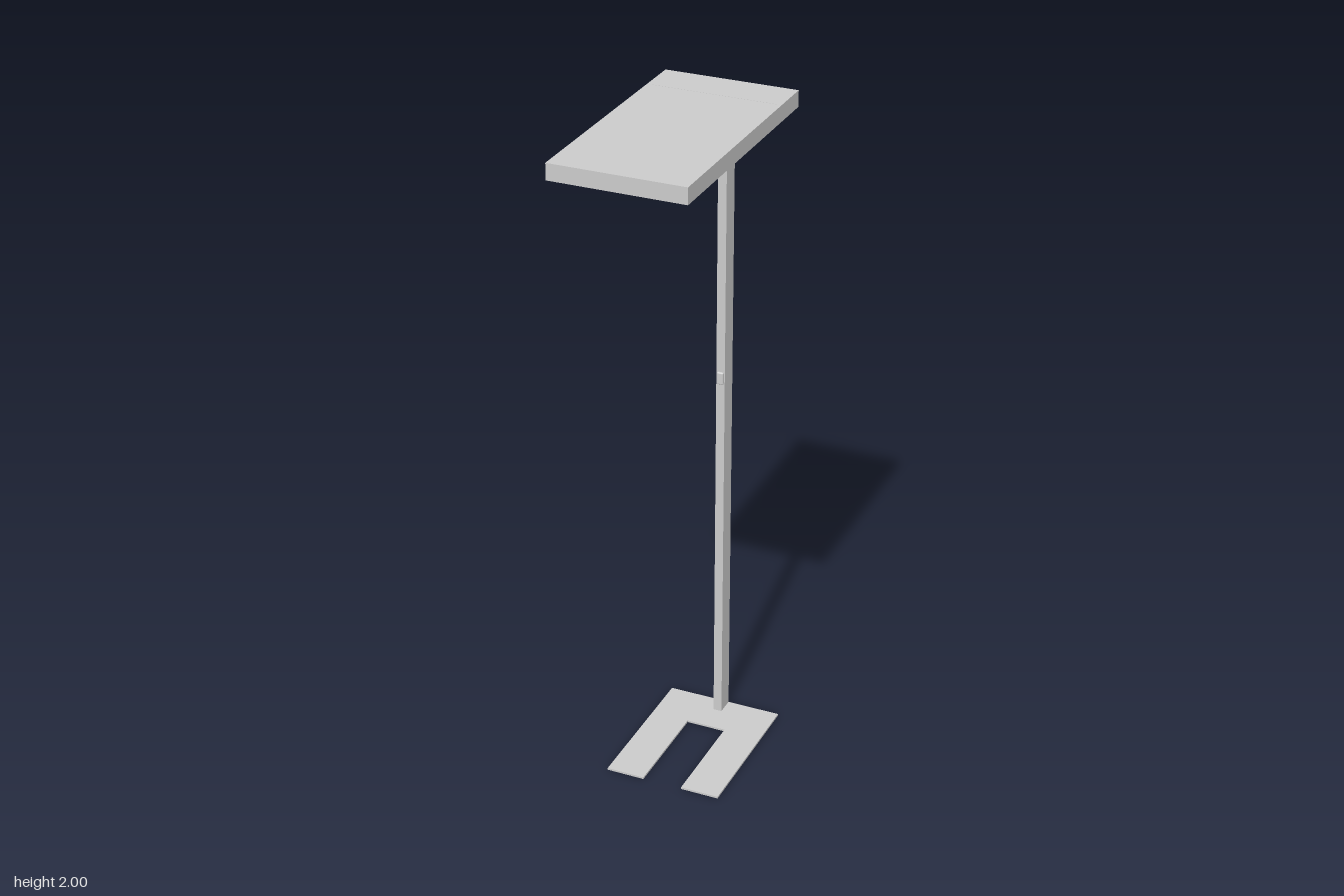
import * as THREE from 'three';
import { RoundedBoxGeometry } from 'three/addons/geometries/RoundedBoxGeometry.js';

const grey = new THREE.MeshStandardMaterial({ color: 0xcccccc });

export function createModel() {
  const model = new THREE.Group();
  model.name = 'floorLamp';

  function add(name, geometry, x = 0, y = 0, z = 0) {
    const mesh = new THREE.Mesh(geometry, grey);
    mesh.name = name;
    mesh.position.set(x, y, z);
    model.add(mesh);
    return mesh;
  }

  // Flat U-shaped foot, open toward the front (shape y becomes -z)
  const thick = 0.006;
  const outline = [
    [-0.175, 0.362], [-0.175, -0.1], [-0.06, -0.1], [-0.06, 0.22],
    [0.06, 0.22], [0.06, -0.1], [0.175, -0.1], [0.175, 0.362],
  ].map(([x, y]) => new THREE.Vector2(x, y));
  const foot = new THREE.ExtrudeGeometry(new THREE.Shape(outline), { depth: thick, bevelEnabled: false });
  foot.rotateX(-Math.PI / 2);
  add('foot', foot);

  // Upright post at the back
  const headBottom = 1.953;
  const postHeight = headBottom - thick;
  add('post', new THREE.BoxGeometry(0.026, postHeight, 0.055), 0, thick + postHeight / 2, -0.3345);

  // Rocker switch on the front of the post
  add('switchButton', new RoundedBoxGeometry(0.02, 0.038, 0.012, 3, 0.004), 0, 1.132, -0.307);

  // Slab-shaped lamp head
  const headHeight = 2 - headBottom;
  add('lampHead', new THREE.BoxGeometry(0.387, headHeight, 0.727), 0, headBottom + headHeight / 2, 0);

  // Thin seam across the top and the light panel below
  add('topSeam', new THREE.BoxGeometry(0.358, 0.001, 0.003), 0, 2, -0.244);
  add('lightPanel', new THREE.BoxGeometry(0.358, 0.001, 0.585), 0, headBottom, 0.05);

  // Small round sensor under the head, beside the post
  add('sensor', new THREE.CylinderGeometry(0.01, 0.007, 0.008, 24), 0.1, headBottom - 0.003, -0.31);

  return model;
}
